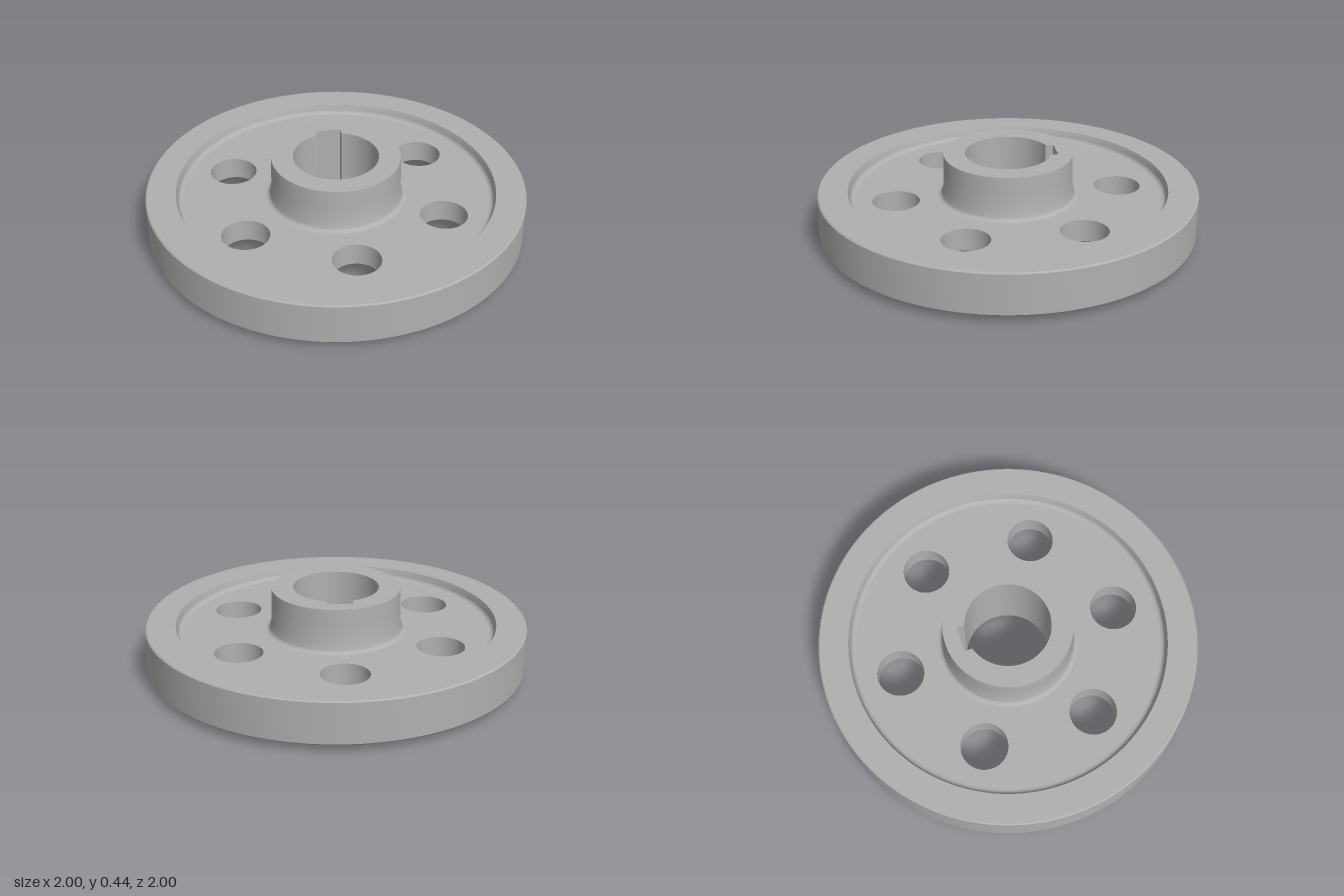
import * as THREE from 'three';
import { toCreasedNormals } from 'three/addons/utils/BufferGeometryUtils.js';

const SEG = 128;
const WEB_LOW = 0.093, WEB_TOP = 0.213, HUB_TOP = 0.445;

// Counter-clockwise loop of points around (cx, cy)
function arc(r, cx = 0, cy = 0, n = SEG, from = 0, to = Math.PI * 2, closed = true) {
  const count = closed ? n : n + 1;
  return Array.from({ length: count }, (_, i) => {
    const a = from + (to - from) * i / n;
    return new THREE.Vector2(cx + r * Math.cos(a), cy + r * Math.sin(a));
  });
}

// Flat plate with holes, facing up or down (shape y points to -z)
function cap(outer, holes, y, up) {
  const shape = new THREE.Shape(outer);
  for (const h of holes) shape.holes.push(new THREE.Path(h));
  const g = new THREE.ShapeGeometry(shape);
  if (up) g.rotateX(-Math.PI / 2);
  else g.rotateX(Math.PI / 2).rotateY(Math.PI);
  return g.translate(0, y, 0);
}

// Inward-facing wall of a hole between two heights
function holeWall(loop, y0, y1) {
  const pos = [];
  loop.forEach((p, i) => {
    const q = loop[(i + 1) % loop.length];
    const a = [p.x, y0, -p.y], b = [q.x, y0, -q.y], c = [q.x, y1, -q.y], d = [p.x, y1, -p.y];
    pos.push(...a, ...d, ...c, ...a, ...c, ...b);
  });
  const g = new THREE.BufferGeometry();
  g.setAttribute('position', new THREE.Float32BufferAttribute(pos, 3));
  g.computeVertexNormals();
  return toCreasedNormals(g, 0.5);
}

function lathe(points) {
  return toCreasedNormals(new THREE.LatheGeometry(points, SEG), 0.5);
}

// Quarter-round fillet running between two angles
function fillet(cx, cy, from, to) {
  return arc(0.025, cx, cy, 6, from, to, false);
}

export function createModel() {
  const group = new THREE.Group();
  const steel = new THREE.MeshStandardMaterial({ color: 0xb0b0b0 });
  steel.name = 'grey steel';
  const add = (name, geometry) => {
    const mesh = new THREE.Mesh(geometry, steel);
    mesh.name = name;
    group.add(mesh);
  };
  const v = (x, y) => new THREE.Vector2(x, y);
  const H = Math.PI / 2;

  // Rim with chamfered outer edges, drafted inner walls and fillets to the web
  add('rim', lathe([
    ...fillet(0.808, WEB_LOW - 0.025, H, 0),
    v(0.842, 0.04), v(0.993, 0.04), v(1, 0.047),
    v(1, 0.258), v(0.993, 0.265), v(0.842, 0.265),
    ...fillet(0.808, WEB_TOP + 0.025, 0, -H),
  ]));

  // Outer skin of the hub, below and above the web
  add('hubLower', lathe([
    v(0.337, 0), v(0.345, 0),
    ...fillet(0.373, WEB_LOW - 0.025, Math.PI, H),
  ]));
  add('hubUpper', lathe([
    ...fillet(0.373, WEB_TOP + 0.025, Math.PI * 1.5, Math.PI),
    v(0.341, 0.265), v(0.34, 0.36), v(0.337, HUB_TOP),
  ]));

  // Web plate with six round lightening holes
  const holes = Array.from({ length: 6 }, (_, i) => {
    const a = Math.PI / 6 + i * Math.PI / 3;
    return arc(0.124, 0.594 * Math.cos(a), 0.594 * Math.sin(a), 48);
  });
  const webHoles = [arc(0.373), ...holes];
  add('webTop', cap(arc(0.808), webHoles, WEB_TOP, true));
  add('webBottom', cap(arc(0.808), webHoles, WEB_LOW, false));
  holes.forEach((h) => add('webHoleWall', holeWall(h, WEB_LOW, WEB_TOP)));

  // Bore with a square keyway at the back
  const half = 0.067, r = 0.224, gap = Math.asin(half / r);
  const bore = [
    ...arc(r, 0, 0, 80, H + gap, H - gap + Math.PI * 2, false),
    v(half, 0.255), v(-half, 0.255),
  ];
  add('boreWall', holeWall(bore, 0, HUB_TOP));
  add('hubTopFace', cap(arc(0.337), [bore], HUB_TOP, true));
  add('hubBottomFace', cap(arc(0.337), [bore], 0, false));

  return group;
}
